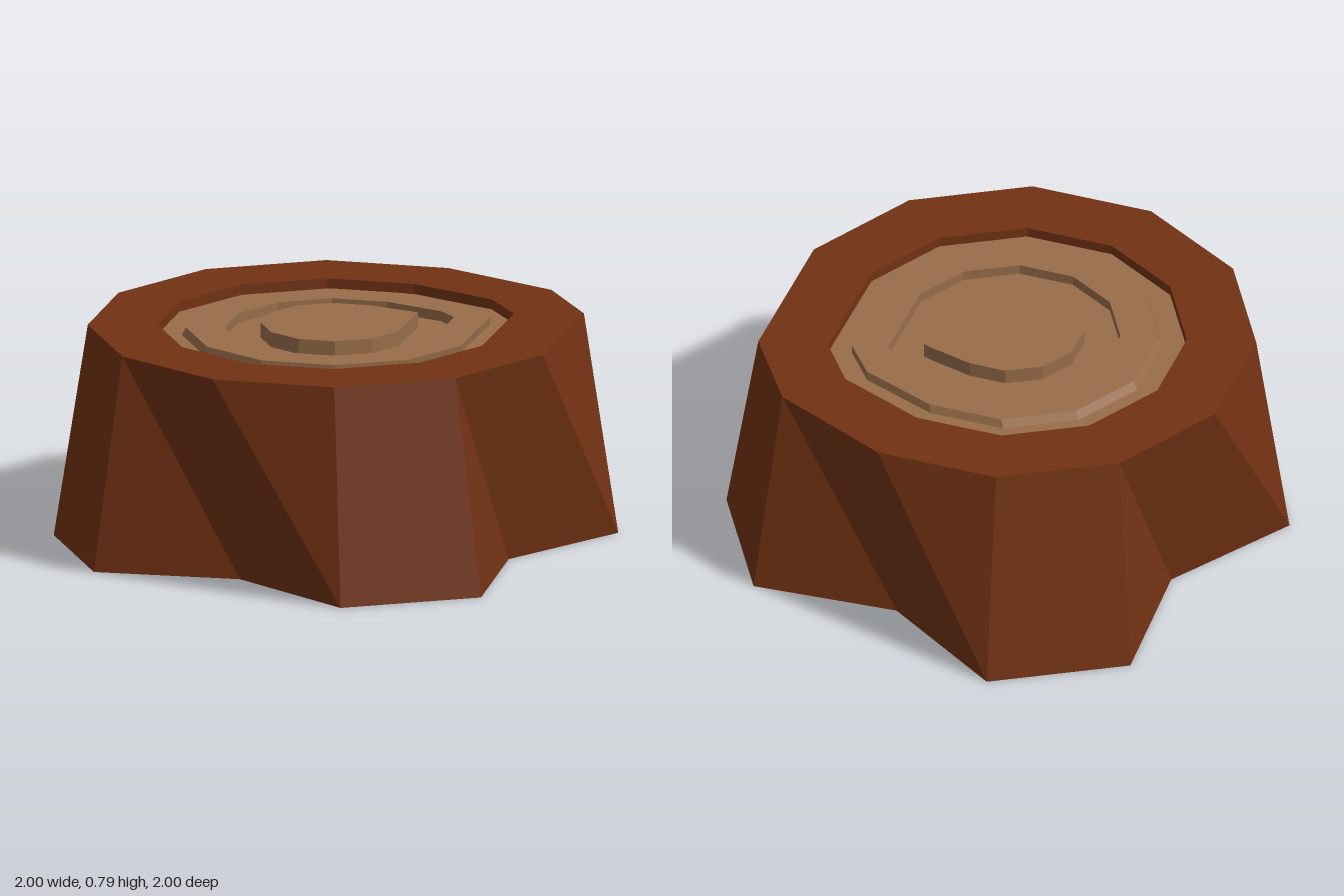
import * as THREE from 'three';

const SIDES = 12;

// One twelve-sided loop; point(j, angle) returns [x, z]
function loop(y, point) {
  return Array.from({ length: SIDES }, (_, j) => {
    const [x, z] = point(j, (j * Math.PI) / 6);
    return [x, y, z];
  });
}

// Slightly irregular ring used for the cut surface
function ring(radius, y, cx = -0.02, cz = 0.03) {
  const nudge = [[0.04, -0.125], [0.045, -0.015]];
  return loop(y, (j, a) => {
    const [dx, dz] = nudge[j] || [0, 0];
    return [cx + radius * Math.cos(a) + dx, cz - radius * Math.sin(a) + dz];
  });
}

// Root outline: every third corner is pulled in between two root corners
function rootLoop(y) {
  return loop(y, (j, a) => {
    const r = j % 3 === 2 ? 0.7 : 1;
    return [r * Math.cos(a), -r * Math.sin(a)];
  });
}

// Skin consecutive loops with flat faces, optionally capping the last one
function skin(name, loops, color, cap = false) {
  const pos = [];
  const tri = (...pts) => pts.forEach((p) => pos.push(...p));
  for (let i = 0; i < loops.length - 1; i++) {
    const A = loops[i], B = loops[i + 1];
    for (let j = 0; j < SIDES; j++) {
      const k = (j + 1) % SIDES;
      tri(A[j], A[k], B[j]);
      tri(A[k], B[k], B[j]);
    }
  }
  if (cap) {
    const L = loops[loops.length - 1];
    for (let j = 1; j < SIDES - 1; j++) tri(L[0], L[j], L[j + 1]);
  }
  const geometry = new THREE.BufferGeometry();
  geometry.setAttribute('position', new THREE.Float32BufferAttribute(pos, 3));
  geometry.computeVertexNormals();
  const material = new THREE.MeshStandardMaterial({ color, flatShading: true, side: THREE.DoubleSide });
  const mesh = new THREE.Mesh(geometry, material);
  mesh.name = name;
  return mesh;
}

export function createModel() {
  const group = new THREE.Group();
  group.name = 'treeStump';

  // Hollow bark shell: roots, flat rim and the short inner lip
  group.add(skin('bark', [
    rootLoop(0), ring(0.86, 0.78), ring(0.613, 0.78), ring(0.613, 0.743),
  ], 0x723214));

  // Stepped growth rings: ledge, raised band, groove and raised heart
  group.add(skin('growthRings', [
    ring(0.613, 0.743), ring(0.527, 0.743, -0.02, 0.035), ring(0.52, 0.772, -0.012, 0.042),
    ring(0.388, 0.772, -0.008, 0.045), ring(0.388, 0.735, -0.008, 0.045),
    ring(0.26, 0.735, -0.008, 0.045), ring(0.26, 0.79, -0.008, 0.045),
  ], 0x986d4a, true));

  return group;
}
